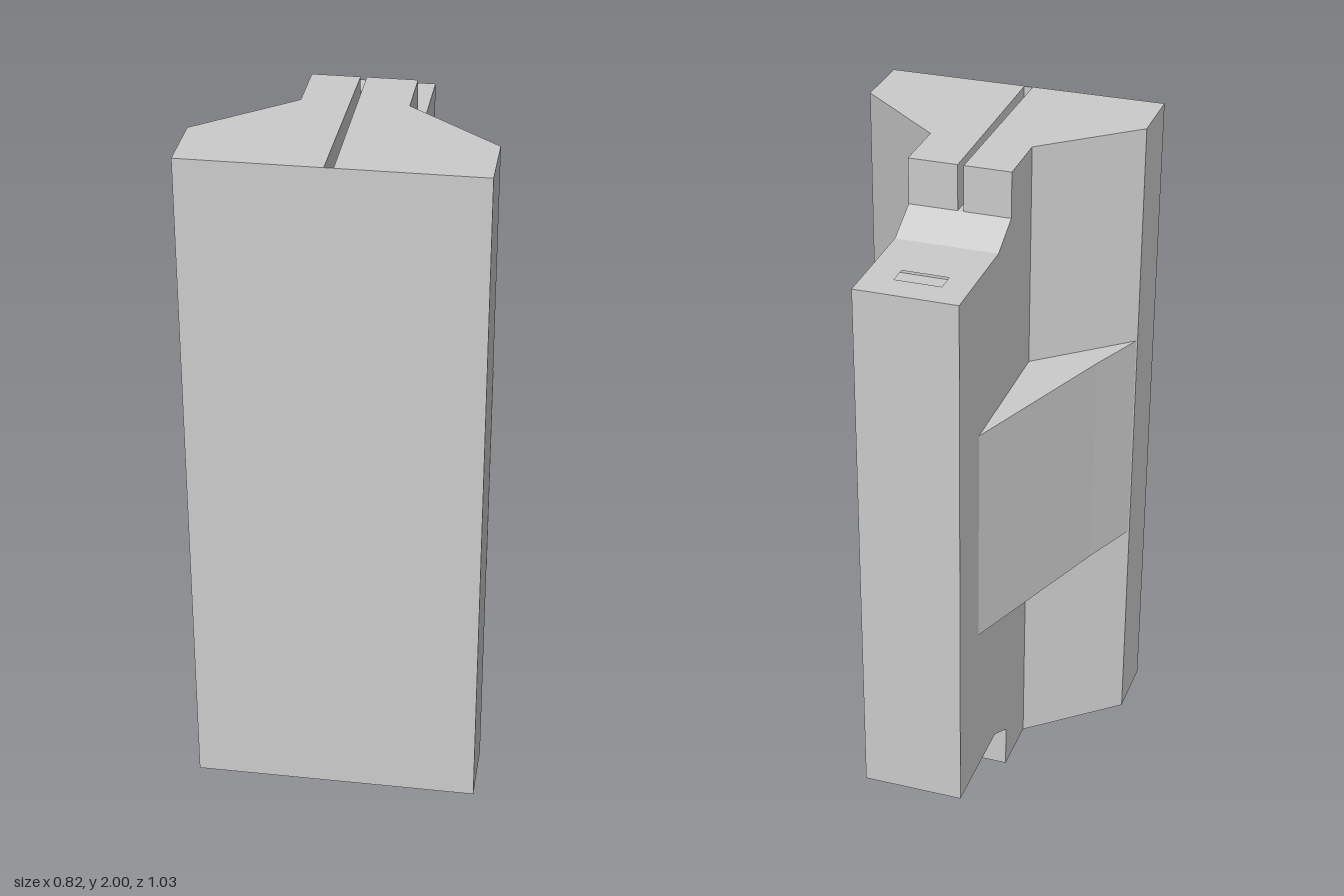
import * as THREE from 'three';

const material = new THREE.MeshStandardMaterial({ color: 0xcccccc, flatShading: true });
const LEFT = 0.145, RIGHT = -0.15;          // sides of the narrow spine
const END = 0.135, CAP = 0.1;               // thickness of end plates and socket caps

function outline(points) {
  return points.map(([x, z]) => new THREE.Vector2(x, -z));
}

// Extrude a plan outline of [x, z] points from y0 to y1
function prism(points, y0, y1, hole) {
  const shape = new THREE.Shape(outline(points));
  if (hole) shape.holes.push(new THREE.Path(outline(hole)));
  const geo = new THREE.ExtrudeGeometry(shape, { depth: y1 - y0, bevelEnabled: false });
  return geo.rotateX(-Math.PI / 2).translate(0, y0, 0);
}

export function createModel() {
  const group = new THREE.Group();
  const add = (name, geo) => {
    const mesh = new THREE.Mesh(geo, material);
    mesh.name = name;
    group.add(mesh);
  };

  // Wide front slab tapering into the spine
  const front = [[LEFT, -0.085], [LEFT, 0.095], [0.41, 0.32], [0.41, 0.515],
    [-0.413, 0.515], [-0.413, 0.32], [RIGHT, 0.095], [RIGHT, -0.085]];
  add('frontBody', prism(front, END, 2 - END));

  // End plates, each split by a narrow slit that stops just behind the front face
  const slit = [[-0.014, -0.085], [-0.02, 0.511], [0.005, 0.511], [0.003, -0.085]];
  for (const [name, y0] of [['bottomPlate', 0.003], ['topPlate', 2 - END]]) {
    add(name, prism([...front, ...slit], y0, name === 'topPlate' ? 2 : END));
  }

  // Rear spine with sloped shoulders at both ends
  const profile = [[-0.085, 2 - END], [-0.195, 1.81], [-0.195, 1.81 - CAP], [-0.517, 1.81 - CAP],
    [-0.517, 0.197 + CAP], [-0.195, 0.197 + CAP], [-0.195, 0.197], [-0.085, END]];
  const spine = new THREE.ExtrudeGeometry(
    new THREE.Shape(profile.map(([z, y]) => new THREE.Vector2(-z, y))),
    { depth: LEFT - RIGHT, bevelEnabled: false });
  add('rearSpine', spine.rotateY(Math.PI / 2).translate(RIGHT, 0, 0));

  // Caps at the spine ends, each with a socket that narrows inward
  const rear = [[LEFT, -0.517], [LEFT, -0.195], [RIGHT, -0.195], [RIGHT, -0.517]];
  const socket = [[-0.073, -0.43], [0.06, -0.43], [0.06, -0.373], [-0.073, -0.373]];
  for (const [name, y0, innerY] of [
    ['topSocketCap', 1.81 - CAP, 1.81 - CAP], ['bottomSocketCap', 0.197, 0.197 + CAP]]) {
    const geo = prism(rear, y0, y0 + CAP, socket);
    const p = geo.attributes.position;
    for (let i = 0; i < p.count; i++) {
      const x = p.getX(i), z = p.getZ(i);
      if (Math.abs(x) > 0.1 || Math.abs(p.getY(i) - innerY) > 0.01) continue;
      p.setX(i, x < 0 ? -0.035 : 0.027);
      if (z < -0.4) p.setZ(i, -0.392);
    }
    geo.computeVertexNormals();
    add(name, geo);
  }

  // Side gussets between the front slab and the spine
  for (const [name, s, inner] of [['leftGusset', 1, LEFT], ['rightGusset', -1, -RIGHT]]) {
    const plan = [[inner, 0.095], [0.411, 0.32], [0.339, 0.147], [inner, -0.355]];
    add(name, prism(plan.map(([x, z]) => [s * x, z]), 0.673, 1.335));
  }
  return group;
}
